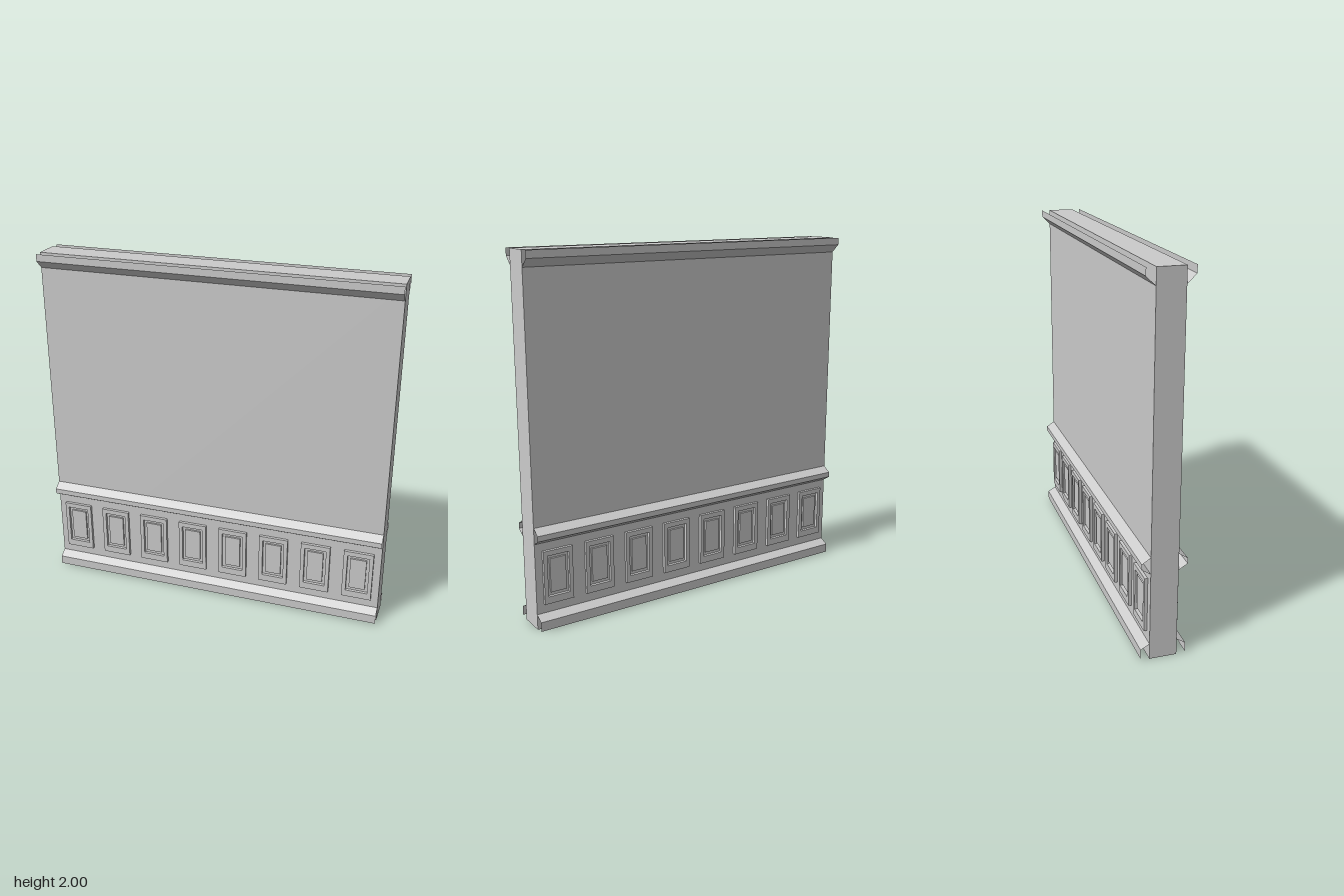
import * as THREE from 'three';

const WALL_Z = 0.073; // half thickness of the wall
const TRIM_Z = 0.12;  // how far the mouldings stand out

const mat = new THREE.MeshStandardMaterial({ color: 0xcccccc, flatShading: true });
const sheetMat = new THREE.MeshStandardMaterial({ color: 0xcccccc, flatShading: true, side: THREE.DoubleSide });

// Open strip along x; profile points are [z, y] listed from top to bottom
function moulding(name, profile) {
  const pos = [], index = [];
  profile.forEach(([z, y], i) => {
    pos.push(-1, y, z, 1, y, z);
    if (i > 0) {
      const a = 2 * (i - 1), b = 2 * i;
      index.push(a, b, b + 1, a, b + 1, a + 1);
    }
  });
  const geo = new THREE.BufferGeometry();
  geo.setAttribute('position', new THREE.Float32BufferAttribute(pos, 3));
  geo.setIndex(index);
  const flat = geo.toNonIndexed();
  flat.computeVertexNormals();
  const mesh = new THREE.Mesh(flat, sheetMat);
  mesh.name = name;
  return mesh;
}

function rectangle(target, w, y0, y1) {
  target.moveTo(-w / 2, y0);
  target.lineTo(w / 2, y0);
  target.lineTo(w / 2, y1);
  target.lineTo(-w / 2, y1);
  target.closePath();
  return target;
}

// Raised frame around a raised centre field
const frameShape = rectangle(new THREE.Shape(), 0.17, 0.14, 0.44);
frameShape.holes.push(rectangle(new THREE.Path(), 0.126, 0.18, 0.412));
const frameGeo = new THREE.ExtrudeGeometry(frameShape, { depth: 0.017, bevelEnabled: false });
const fieldGeo = new THREE.ExtrudeGeometry(
  rectangle(new THREE.Shape(), 0.092, 0.2, 0.392), { depth: 0.011, bevelEnabled: false });

function panel() {
  const g = new THREE.Group();
  g.name = 'wainscotPanel';
  const frame = new THREE.Mesh(frameGeo, mat);
  frame.name = 'panelFrame';
  const field = new THREE.Mesh(fieldGeo, mat);
  field.name = 'panelField';
  g.add(frame, field);
  g.position.z = WALL_Z;
  return g;
}

// All trim on one face of the wall
function wallFace(name) {
  const g = new THREE.Group();
  g.name = name;
  g.add(
    moulding('crownMoulding', [[TRIM_Z, 2], [TRIM_Z, 1.96], [WALL_Z, 1.915]]),
    moulding('chairRail', [[WALL_Z, 0.575], [TRIM_Z, 0.545], [TRIM_Z, 0.515], [WALL_Z, 0.485]]),
    moulding('baseboard', [[WALL_Z, 0.087], [TRIM_Z, 0.06], [TRIM_Z, 0.008]])
  );
  for (let i = 0; i < 8; i++) {
    const p = panel();
    p.position.x = (i - 3.5) * 0.2495;
    g.add(p);
  }
  return g;
}

export function createModel() {
  const model = new THREE.Group();
  model.name = 'panelledWall';

  const core = new THREE.Mesh(new THREE.BoxGeometry(2, 2, WALL_Z * 2), mat);
  core.name = 'wallCore';
  core.position.y = 1;

  // The back repeats the front, turned half round
  const back = wallFace('backTrim');
  back.rotation.y = Math.PI;
  model.add(core, wallFace('frontTrim'), back);
  return model;
}
